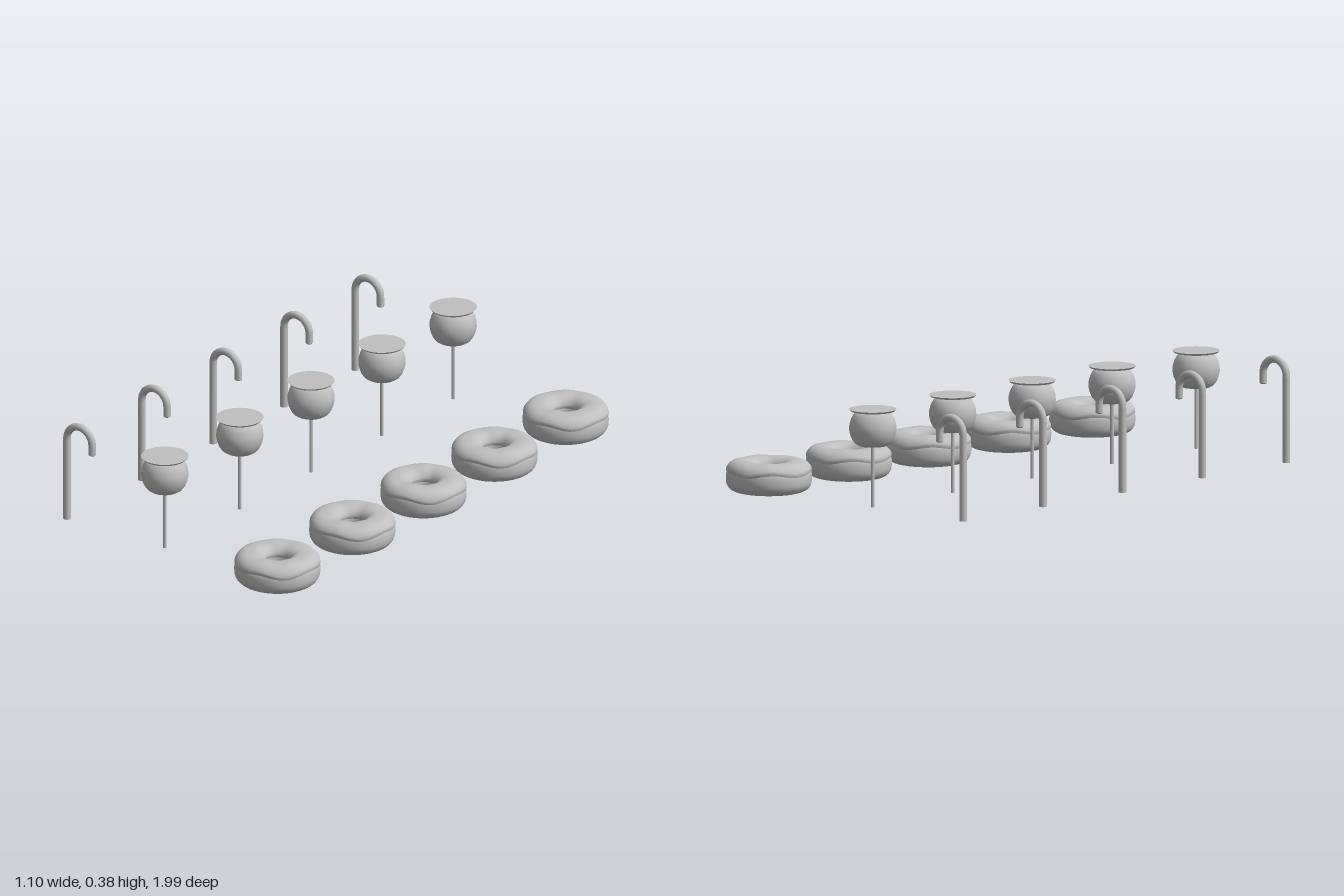
import * as THREE from 'three';
import { mergeVertices } from 'three/addons/utils/BufferGeometryUtils.js';
import { ParametricGeometry } from 'three/addons/geometries/ParametricGeometry.js';

const candyGray = new THREE.MeshStandardMaterial({ color: 0xbfbfbf });
candyGray.name = 'candyGray';

function part(name, geometry, parent) {
  const mesh = new THREE.Mesh(geometry, candyGray);
  mesh.name = name;
  parent.add(mesh);
  return mesh;
}

// Weld seams so the surface shades smoothly all round
function weld(geometry) {
  geometry.deleteAttribute('uv');
  geometry.deleteAttribute('normal');
  const welded = mergeVertices(geometry, 1e-5);
  welded.computeVertexNormals();
  return welded;
}

// Rounded ring: section(v, phi) returns [section angle, half width, half height]
function ring(section, slices, stacks) {
  const soft = (n) => Math.sign(n) * Math.abs(n) ** 0.8;
  return weld(new ParametricGeometry((u, v, target) => {
    const phi = (u % 1) * Math.PI * 2;
    const [angle, halfWidth, halfHeight] = section(v, phi);
    const r = 0.098 + halfWidth * soft(Math.cos(angle));
    const y = 0.05 + halfHeight * soft(Math.sin(angle));
    target.set(r * Math.sin(phi), y, r * Math.cos(phi));
  }, slices, stacks));
}

function createDonut() {
  const donut = new THREE.Group();
  donut.name = 'donut';
  part('dough', ring((v) => [(v % 1) * Math.PI * 2, 0.055, 0.05], 48, 28), donut);

  // Icing shell with a wavy rim that tucks back into the dough
  part('icing', ring((v, phi) => {
    const wave = 0.09 * Math.sin(phi * 5 + 0.6) + 0.05 * Math.sin(phi * 3 + 2);
    const start = 0.31 + wave;
    const end = Math.PI - 0.3;
    const rim = Math.min(1, Math.min(v, 1 - v) / 0.08);
    const swell = Math.sqrt(1 - (1 - rim) ** 2);
    const bump = 0.001 * Math.sin(phi * 7);
    return [start + (end - start) * v, 0.053 + 0.006 * swell, 0.048 + (0.015 + bump) * swell];
  }, 60, 28), donut);
  return donut;
}

function createCandyApple() {
  const apple = new THREE.Group();
  apple.name = 'candyApple';
  const stick = part('stick', new THREE.CylinderGeometry(0.0065, 0.0065, 0.24, 10), apple);
  stick.position.y = 0.12;

  // Plump body, flattened underneath
  const outline = [
    [0, 0.222], [0.03, 0.22], [0.05, 0.222], [0.063, 0.23], [0.073, 0.243], [0.08, 0.26],
    [0.084, 0.28], [0.083, 0.298], [0.078, 0.316], [0.069, 0.332], [0.056, 0.344], [0, 0.348],
  ].map(([r, y]) => new THREE.Vector2(r, y));
  part('appleBody', weld(new THREE.LatheGeometry(outline, 32)), apple);

  // Thin flat disc on top
  const disc = part('topDisc', new THREE.CylinderGeometry(0.084, 0.078, 0.007, 40), apple);
  disc.position.y = 0.3495;
  return apple;
}

function createCandyCane() {
  const cane = new THREE.Group();
  cane.name = 'candyCane';
  const radius = 0.0135, hook = 0.056, archY = 0.309;
  const path = new THREE.CurvePath();
  path.add(new THREE.LineCurve3(new THREE.Vector3(-hook, 0, 0), new THREE.Vector3(-hook, archY, 0)));
  const arc = [];
  for (let i = 0; i <= 12; i++) {
    const a = Math.PI * (1 - i / 12);
    arc.push(new THREE.Vector3(hook * Math.cos(a), archY + hook * Math.sin(a), 0));
  }
  path.add(new THREE.CatmullRomCurve3(arc));
  path.add(new THREE.LineCurve3(arc[12], new THREE.Vector3(hook, 0.275, 0)));
  part('caneTube', new THREE.TubeGeometry(path, 72, radius, 14), cane);

  // End caps
  const foot = part('caneFoot', new THREE.CircleGeometry(radius, 14), cane);
  foot.rotation.x = Math.PI / 2;
  foot.position.set(-hook, 0, 0);
  const tip = part('caneTip', new THREE.SphereGeometry(radius, 14, 8), cane);
  tip.scale.y = 0.45;
  tip.position.set(hook, 0.275, 0);
  return cane;
}

export function createModel() {
  const model = new THREE.Group();
  model.name = 'sweets';
  const columns = [[createCandyCane(), -0.484], [createCandyApple(), -0.105], [createDonut(), 0.395]];
  // Five rows of each sweet
  for (const z of [-0.844, -0.427, -0.012, 0.405, 0.844]) {
    for (const [sweet, x] of columns) {
      const copy = sweet.clone();
      copy.position.set(x, 0, z);
      model.add(copy);
    }
  }
  return model;
}
